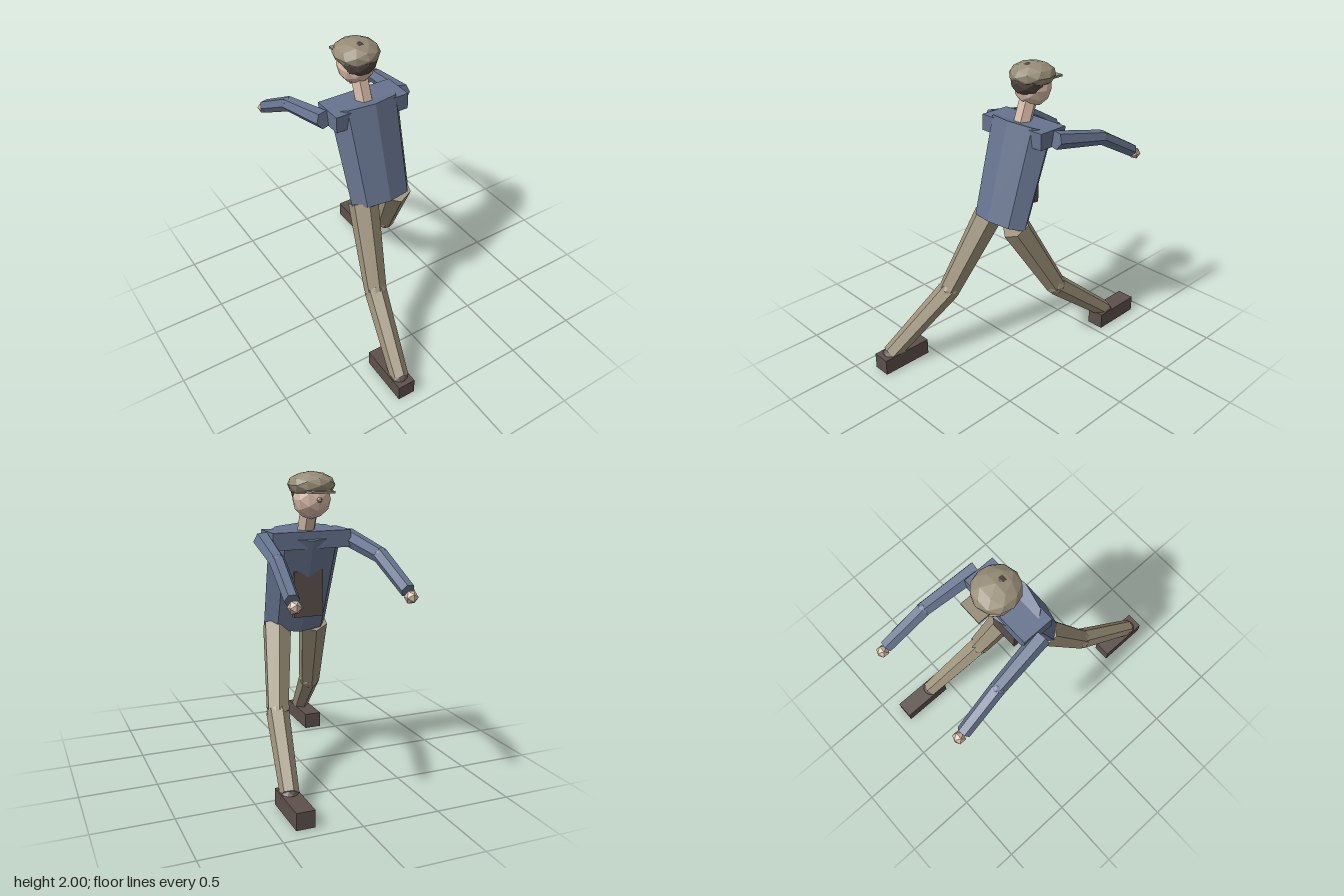
import * as THREE from 'three';

const mat = (name, color) => {
  const m = new THREE.MeshStandardMaterial({ color, flatShading: true });
  m.name = name;
  return m;
};

export function createModel() {
  const jacket = mat('jacket blue', 0x67748f);
  const trousers = mat('trouser khaki', 0x9c917a);
  const capCloth = mat('cap khaki', 0x968c76);
  const leather = mat('dark leather', 0x5c504b);
  const hairBrown = mat('hair brown', 0x51463f);
  const skin = mat('skin', 0xd6b9a6);

  const model = new THREE.Group();
  model.name = 'stridingFigure';

  const add = (name, geometry, material, pos, parent = model) => {
    const mesh = new THREE.Mesh(geometry, material);
    mesh.name = name;
    mesh.position.set(...pos);
    parent.add(mesh);
    return mesh;
  };
  const box = (name, m, size, pos, parent) => add(name, new THREE.BoxGeometry(...size), m, pos, parent);
  const ball = (name, m, radii, pos, detail = 1, parent = model) =>
    add(name, new THREE.IcosahedronGeometry(1, detail).scale(...radii), m, pos, parent);

  // Tapered prism running from point a to point b
  const limb = (name, m, a, b, ra, rb, sides = 6, depth = 1, parent = model) => {
    const from = new THREE.Vector3(...a), to = new THREE.Vector3(...b);
    const dir = to.clone().sub(from);
    const geo = new THREE.CylinderGeometry(rb, ra, dir.length(), sides);
    if (sides === 6) geo.rotateY(Math.PI / 6);
    geo.scale(1, 1, depth);
    const mesh = add(name, geo, m, from.add(to).multiplyScalar(0.5).toArray(), parent);
    mesh.quaternion.setFromUnitVectors(new THREE.Vector3(0, 1, 0), dir.normalize());
    return mesh;
  };

  // Leaning torso, shoulder yoke and front panel
  limb('torso', jacket, [0, 0.976, 0.094], [0, 1.615, -0.104], 0.22, 0.25, 8, 0.57);
  box('shoulders', jacket, [0.53, 0.11, 0.22], [0, 1.575, -0.107]);
  box('frontPanel', leather, [0.2, 0.3, 0.035], [0, 1.22, -0.138]);

  // Neck and head
  limb('neck', skin, [0, 1.58, -0.09], [0, 1.76, -0.155], 0.06, 0.06);
  ball('head', skin, [0.12, 0.125, 0.125], [0, 1.83, -0.195]);
  ball('nose', skin, [0.018, 0.018, 0.02], [0, 1.833, -0.322], 0);
  ball('hair', hairBrown, [0.119, 0.113, 0.112], [0, 1.885, -0.152]);

  // Flat cap with a thin brim
  ball('cap', capCloth, [0.15, 0.082, 0.155], [0, 1.918, -0.188]);
  box('capBrim', capCloth, [0.155, 0.014, 0.17], [0, 1.882, -0.3]);

  // Both arms reach towards -z
  for (const s of [1, -1]) {
    const arm = new THREE.Group();
    arm.name = s > 0 ? 'leftArm' : 'rightArm';
    model.add(arm);
    const shoulder = [s * 0.29, 1.572, -0.1], elbow = [s * 0.335, 1.5, -0.49], wrist = [s * 0.363, 1.335, -0.79];
    limb('upperArm', jacket, shoulder, elbow, 0.06, 0.05, 6, 1, arm);
    limb('forearm', jacket, elbow, wrist, 0.05, 0.046, 6, 1, arm);
    ball('elbow', jacket, [0.048, 0.048, 0.048], elbow, 1, arm);
    ball('hand', skin, [0.043, 0.043, 0.043], [s * 0.363, 1.304, -0.828], 0, arm);
  }

  // Legs in a long stride: one forward (-z), one trailing (+z)
  const legs = [
    { name: 'leftLeg', hip: [0.13, 0.975, 0.085], knee: [0.235, 0.465, -0.2], ankle: [0.325, 0.1, -0.645], footZ: -0.727 },
    { name: 'rightLeg', hip: [-0.13, 0.975, 0.085], knee: [-0.225, 0.465, 0.375], ankle: [-0.33, 0.1, 0.82], footZ: 0.727 },
  ];
  for (const { name, hip, knee, ankle, footZ } of legs) {
    const leg = new THREE.Group();
    leg.name = name;
    model.add(leg);
    limb('thigh', trousers, hip, knee, 0.1, 0.075, 6, 1, leg);
    limb('shin', trousers, knee, ankle, 0.075, 0.06, 6, 1, leg);
    ball('knee', trousers, [0.074, 0.074, 0.074], knee, 1, leg);
    ball('ankle', leather, [0.064, 0.06, 0.06], [ankle[0], 0.085, ankle[2]], 1, leg);
    box('shoe', leather, [0.12, 0.11, 0.355], [ankle[0], 0.055, footZ], leg);
  }

  return model;
}
